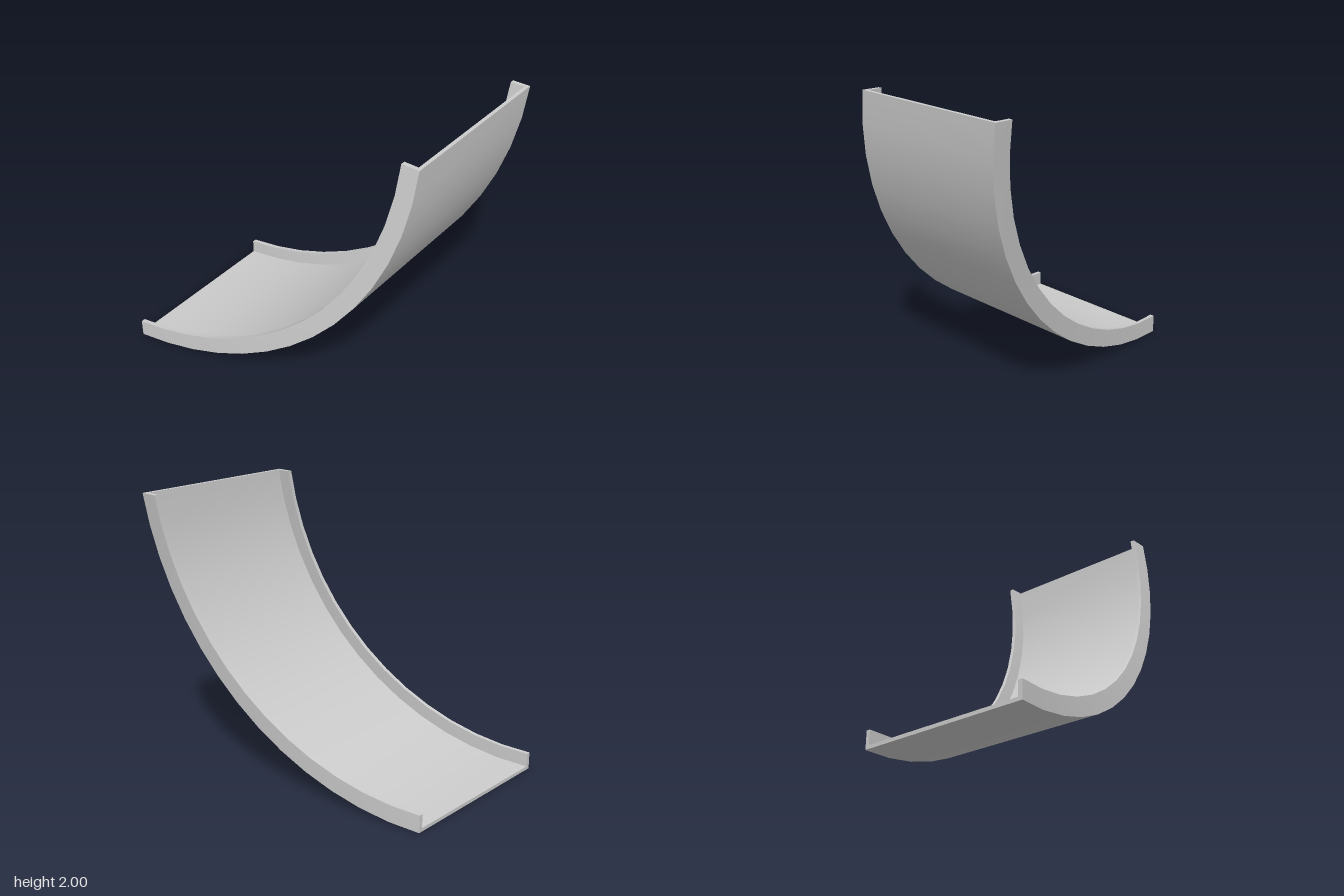
import * as THREE from 'three';

// Channel sizes
const RADIUS = 2, HEIGHT = 0.125, FLOOR = 0.025, WALL = 0.03, HALF = 0.635;
const SEGMENTS = 14, DRIFT = 0.5;

// U-shaped cross-section: [z, height above the outer face]
const profile = [
  [-HALF, 0], [HALF, 0], [HALF, HEIGHT], [HALF - WALL, HEIGHT],
  [HALF - WALL, FLOOR], [-HALF + WALL, FLOOR], [-HALF + WALL, HEIGHT], [-HALF, HEIGHT],
];

// Place a profile point on the quarter turn, which drifts sideways at a steady rate
function place([z, h], t) {
  const a = t * Math.PI / 2, r = RADIUS - h;
  return [-1 + r * Math.sin(a), 2 - r * Math.cos(a), z + DRIFT * (0.5 - t)];
}

function sweepChannel() {
  const pos = [], index = [];
  // Each side of the profile is its own strip, so its edges stay sharp
  profile.forEach((p, k) => {
    const q = profile[(k + 1) % profile.length];
    const base = pos.length / 3;
    for (let i = 0; i <= SEGMENTS; i++) {
      pos.push(...place(p, i / SEGMENTS), ...place(q, i / SEGMENTS));
      if (i < SEGMENTS) {
        const a = base + 2 * i;
        index.push(a, a + 2, a + 1, a + 1, a + 2, a + 3);
      }
    }
  });
  // Flat end caps
  const faces = THREE.ShapeUtils.triangulateShape(profile.map(p => new THREE.Vector2(...p)), []);
  for (const t of [0, 1]) {
    const base = pos.length / 3;
    profile.forEach(p => pos.push(...place(p, t)));
    for (const [a, b, c] of faces) {
      index.push(base + a, base + (t ? c : b), base + (t ? b : c));
    }
  }
  const geo = new THREE.BufferGeometry();
  geo.setAttribute('position', new THREE.Float32BufferAttribute(pos, 3));
  // Turn every face outward
  for (let i = 0; i < index.length; i += 3) {
    [index[i + 1], index[i + 2]] = [index[i + 2], index[i + 1]];
  }
  geo.setIndex(index);
  geo.computeVertexNormals();
  return geo;
}

export function createModel() {
  const group = new THREE.Group();
  const material = new THREE.MeshStandardMaterial({ color: 0xcccccc, side: THREE.DoubleSide });
  const channel = new THREE.Mesh(sweepChannel(), material);
  channel.name = 'curvedChannel';
  group.add(channel);
  return group;
}
